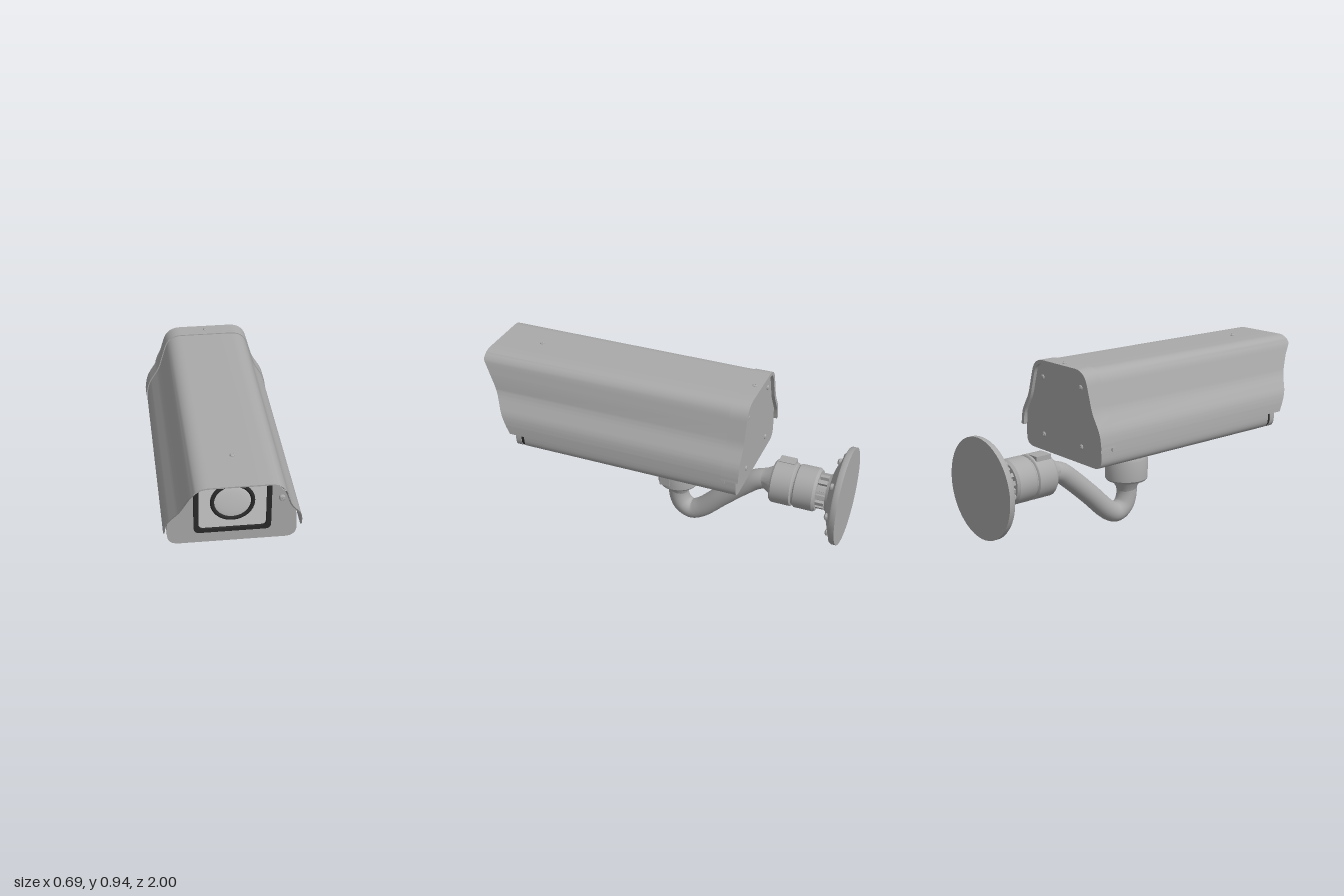
import * as THREE from 'three';
import { toCreasedNormals } from 'three/addons/utils/BufferGeometryUtils.js';

const material = (name, color) => {
  const m = new THREE.MeshStandardMaterial({ color });
  m.name = name;
  return m;
};

// Polyline with softened corners; each point is [x, y, corner radius]
function rounded(points) {
  const out = [];
  points.forEach(([x, y, r], i) => {
    const p = new THREE.Vector2(x, y);
    if (!r) { out.push(p); return; }
    const toward = q => p.clone().add(new THREE.Vector2(q[0] - x, q[1] - y).setLength(r));
    const curve = new THREE.QuadraticBezierCurve(toward(points[i - 1]), p, toward(points[i + 1]));
    out.push(...curve.getPoints(8));
  });
  return out;
}

// Right half (bottom to top) joined to its mirror image
const mirrored = half => [...half, ...half.map(p => new THREE.Vector2(-p.x, p.y)).reverse()];

// Moves an open polyline sideways along its normals
function offset(line, d) {
  return line.map((p, i) => {
    const a = line[Math.max(i - 1, 0)], b = line[Math.min(i + 1, line.length - 1)];
    const t = b.clone().sub(a).normalize();
    return new THREE.Vector2(p.x + t.y * d, p.y - t.x * d);
  });
}

function extrude(outline, z0, z1) {
  const shape = outline instanceof THREE.Shape ? outline : new THREE.Shape(outline);
  return new THREE.ExtrudeGeometry(shape, { depth: z1 - z0, bevelEnabled: false, curveSegments: 10 })
    .translate(0, 0, z0);
}

function roundedRect(target, w, y0, y1, r) {
  target.moveTo(-w + r, y0).lineTo(w - r, y0).quadraticCurveTo(w, y0, w, y0 + r)
    .lineTo(w, y1 - r).quadraticCurveTo(w, y1, w - r, y1)
    .lineTo(-w + r, y1).quadraticCurveTo(-w, y1, -w, y1 - r)
    .lineTo(-w, y0 + r).quadraticCurveTo(-w, y0, -w + r, y0);
  return target;
}

// Front edge of the sun hood: z for a given height
const hoodEdge = [[0.53, 0.805], [0.73, 0.904], [0.82, 0.948], [0.89, 1], [1, 1]];
function hoodFront(y) {
  const i = hoodEdge.findIndex(([top], k) => k > 0 && y <= top);
  const [y0, z0] = hoodEdge[i - 1], [y1, z1] = hoodEdge[i];
  return z0 + (z1 - z0) * Math.max(0, (y - y0) / (y1 - y0));
}

export function createModel() {
  const grey = material('grey painted metal', 0xaaaaaa);
  const rubber = material('black rubber', 0x2a2a2a);
  const glass = material('window glass', 0xcccccc);
  const lensGlass = material('lens glass', 0xc6c6c6);

  const model = new THREE.Group();
  const add = (name, geometry, mat = grey, parent = model, crease = 0.6) => {
    const mesh = new THREE.Mesh(crease ? toCreasedNormals(geometry, crease) : geometry, mat);
    mesh.name = name;
    parent.add(mesh);
  };
  const group = (name, x, y, z, rx = 0) => {
    const g = new THREE.Group();
    g.name = name;
    g.position.set(x, y, z);
    g.rotation.x = rx;
    model.add(g);
    return g;
  };
  const lathe = (name, profile, parent) =>
    add(name, new THREE.LatheGeometry(profile.map(p => new THREE.Vector2(...p)), 48), grey, parent);

  // Cross-headed screw, its head pointing along local +y
  const screw = (name, x, y, z, rx, r = 0.016) => {
    const g = group(name, x, y, z, rx);
    lathe('screwHead', [[r, -r], [r, r * 0.2], [r * 0.7, r * 0.5], [0, r * 0.6]], g);
    for (const turn of [0, Math.PI / 2])
      add('screwCross', new THREE.BoxGeometry(r, r * 0.2, r * 0.25).rotateY(turn).translate(0, r * 0.55, 0), grey, g);
  };

  // Housing with seal and front plate
  const body = mirrored(rounded([
    [0, 0.44], [0.32, 0.44, 0.06], [0.318, 0.53, 0.02], [0.309, 0.64, 0.03], [0.256, 0.725, 0.03],
    [0.226, 0.83, 0.02], [0.2, 0.918, 0.06], [0, 0.918]]).slice(1, -1));
  const sealLine = body.map(p => new THREE.Vector2(p.x * 0.993, 0.68 + (p.y - 0.68) * 0.99));
  add('housing', extrude(body, -0.487, 0.73));
  add('housingSeal', extrude(sealLine, 0.73, 0.747), rubber);
  add('frontPlate', extrude(body, 0.747, 0.78));

  // Thin sun hood with a raked front edge
  const hoodHalf = rounded([
    [0.338, 0.532], [0.335, 0.58, 0.01], [0.325, 0.635, 0.03], [0.266, 0.73, 0.03],
    [0.235, 0.835, 0.02], [0.207, 0.93, 0.07], [0.06, 0.93]]);
  const shell = (line, thickness) => [...line, ...offset(line, -thickness).reverse()];
  const hood = extrude(shell(mirrored(hoodHalf), 0.007), 0, 1);
  const pos = hood.attributes.position;
  for (let i = 0; i < pos.count; i++)
    pos.setZ(i, THREE.MathUtils.lerp(-0.43, hoodFront(pos.getY(i)), pos.getZ(i)));
  add('sunHood', hood);

  // Rear band over the hood
  const bandHalf = hoodHalf.map(p => new THREE.Vector2(p.x, Math.max(p.y, 0.555)))
    .filter((p, i) => i === 0 || p.y > 0.556);
  add('rearBand', extrude(shell(offset(mirrored(bandHalf), 0.005), 0.02), -0.505, -0.412));

  // Window, frame and lens
  const frame = roundedRect(new THREE.Shape(), 0.189, 0.51, 0.853, 0.03);
  frame.holes.push(roundedRect(new THREE.Path(), 0.165, 0.53, 0.836, 0.025));
  add('windowFrame', extrude(frame, 0.775, 0.797), rubber);
  add('window', extrude(roundedRect(new THREE.Shape(), 0.17, 0.525, 0.841, 0.025), 0.777, 0.784), glass);
  add('lensRing', new THREE.TorusGeometry(0.099, 0.0105, 12, 48).translate(0, 0.682, 0.786), rubber, model, 0);
  add('lens', new THREE.SphereGeometry(0.096, 40, 10, 0, Math.PI * 2, 0, Math.PI / 2)
    .scale(1, 0.08, 1).rotateX(Math.PI / 2).translate(0, 0.682, 0.784), lensGlass, model, 0);

  // Housing screws
  for (const s of [-1, 1]) {
    screw('frontScrew', s * 0.241, 0.682, 0.783, Math.PI / 2);
    for (const y of [0.53, 0.84]) screw('backScrew', s * 0.16, y, -0.488, -Math.PI / 2, 0.013);
  }
  screw('hoodScrew', 0, 0.931, 0.755, 0, 0.012);
  screw('bandScrew', 0, 0.935, -0.465, 0, 0.012);

  // Ribs around the neck of a joint
  const ribs = (parent, y0, y1, r) => {
    for (let i = 0; i < 14; i++)
      add('neckRib', new THREE.BoxGeometry(0.022, y1 - y0, 0.026).translate(0, (y0 + y1) / 2, r)
        .rotateY(i * Math.PI / 7), grey, parent);
  };

  // Upper joint beneath the housing
  const upper = group('upperJoint', 0, 0, -0.055);
  lathe('upperNut', [[0.054, 0.17], [0.06, 0.19], [0.078, 0.222], [0.082, 0.23], [0.11, 0.232], [0.118, 0.243],
    [0.118, 0.352], [0.112, 0.366], [0.08, 0.368]], upper);
  lathe('upperNeck', [[0.082, 0.36], [0.082, 0.405]], upper);
  ribs(upper, 0.362, 0.408, 0.09);
  lathe('housingFlange', [[0.08, 0.398], [0.108, 0.4], [0.12, 0.416], [0.142, 0.422], [0.165, 0.43],
    [0.167, 0.442], [0, 0.442]], upper);
  add('upperLatch', new THREE.BoxGeometry(0.034, 0.08, 0.06).translate(0.104, 0.302, 0.04), grey, upper);

  // Bent arm
  const arm = [[0.24, -0.055], [0.14, -0.055], [0.083, -0.08], [0.056, -0.132], [0.08, -0.188], [0.2, -0.318],
    [0.31, -0.442], [0.358, -0.505], [0.378, -0.57], [0.378, -0.63]];
  add('arm', new THREE.TubeGeometry(new THREE.CatmullRomCurve3(
    arm.map(([y, z]) => new THREE.Vector3(0, y, z))), 80, 0.056, 28), grey, model, 0);

  // Wall joint, its axis running backwards
  const wall = group('wallJoint', 0, 0.378, 0, -Math.PI / 2);
  lathe('wallNut', [[0.054, 0.54], [0.06, 0.56], [0.078, 0.59], [0.082, 0.598], [0.11, 0.6], [0.118, 0.61],
    [0.118, 0.714], [0.112, 0.72], [0.108, 0.721], [0.108, 0.728], [0.112, 0.729], [0.118, 0.736],
    [0.118, 0.836], [0.108, 0.85], [0.075, 0.852]], wall);
  lathe('wallNeck', [[0.078, 0.845], [0.078, 0.925]], wall);
  ribs(wall, 0.848, 0.898, 0.083);
  lathe('wallPlate', [[0.07, 0.9], [0.1, 0.902], [0.108, 0.916], [0.145, 0.922], [0.258, 0.968], [0.263, 0.976],
    [0.263, 1], [0, 1]], wall);
  add('wallLatch', new THREE.BoxGeometry(0.06, 0.09, 0.034).translate(-0.04, 0.66, 0.104), grey, wall);

  // Ring of plate screws
  for (let i = 0; i < 8; i++) {
    const a = i * Math.PI / 4;
    screw('plateScrew', 0.207 * Math.cos(a), 0.378 + 0.207 * Math.sin(a), -0.943, Math.PI / 2, 0.018);
  }
  return model;
}
